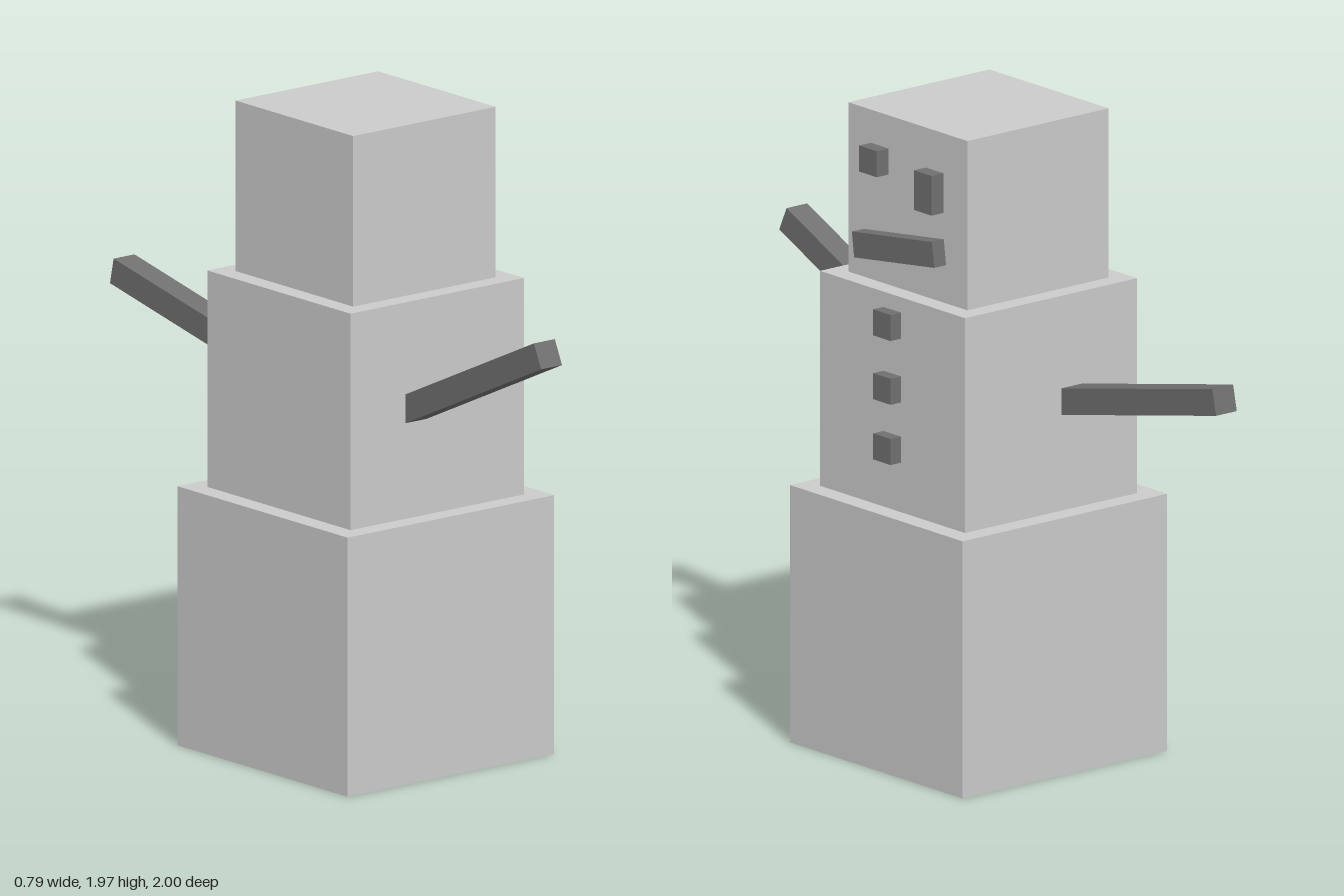
import * as THREE from 'three';

export function createModel() {
  const group = new THREE.Group();
  const light = new THREE.MeshStandardMaterial({ color: 0xcccccc, side: THREE.DoubleSide, flatShading: true });
  const dark = new THREE.MeshStandardMaterial({ color: 0x707070, flatShading: true });

  function add(name, geometry, material, x, y, z, tilt = 0) {
    const mesh = new THREE.Mesh(geometry, material);
    mesh.name = name;
    mesh.position.set(x, y, z);
    mesh.rotation.x = tilt;
    group.add(mesh);
  }

  // Body blocks: boxes with an open underside
  function block(name, width, height, bottom) {
    const geometry = new THREE.BoxGeometry(width, height, width);
    const index = Array.from(geometry.index.array);
    index.splice(18, 6); // drop the bottom face
    geometry.setIndex(index);
    geometry.clearGroups();
    add(name, geometry, light, -0.003, bottom + height / 2, 0.039);
  }
  block('base', 0.79, 0.79, 0);
  block('torso', 0.664, 0.66, 0.79);
  block('head', 0.545, 0.52, 1.45);

  // Stick arms, from shoulder to tip in the z-y plane, starting just inside the torso
  function arm(name, z0, y0, z1, y1) {
    const dz = z1 - z0, dy = y1 - y0;
    const geometry = new THREE.BoxGeometry(0.08, 0.08, Math.hypot(dz, dy));
    add(name, geometry, dark, -0.084, (y0 + y1) / 2, (z0 + z1) / 2, -Math.atan2(dy, dz));
  }
  arm('frontArm', 0.35, 1.116, 0.983, 1.407);
  arm('backArm', -0.27, 1.12, -0.992, 1.275);

  // Coat buttons
  for (const y of [1.363, 1.167, 0.982]) {
    add('button', new THREE.BoxGeometry(0.04, 0.08, 0.08), dark, 0.349, y, 0.04);
  }

  // Face: two uneven eyes and a crooked mouth
  const faceX = 0.292;
  add('smallEye', new THREE.BoxGeometry(0.046, 0.08, 0.08), dark, faceX, 1.828, 0.168);
  add('tallEye', new THREE.BoxGeometry(0.046, 0.122, 0.08), dark, faceX, 1.786, -0.083);
  add('mouth', new THREE.BoxGeometry(0.046, 0.078, 0.37), dark, faceX, 1.582, 0.053, 0.13);

  return group;
}
